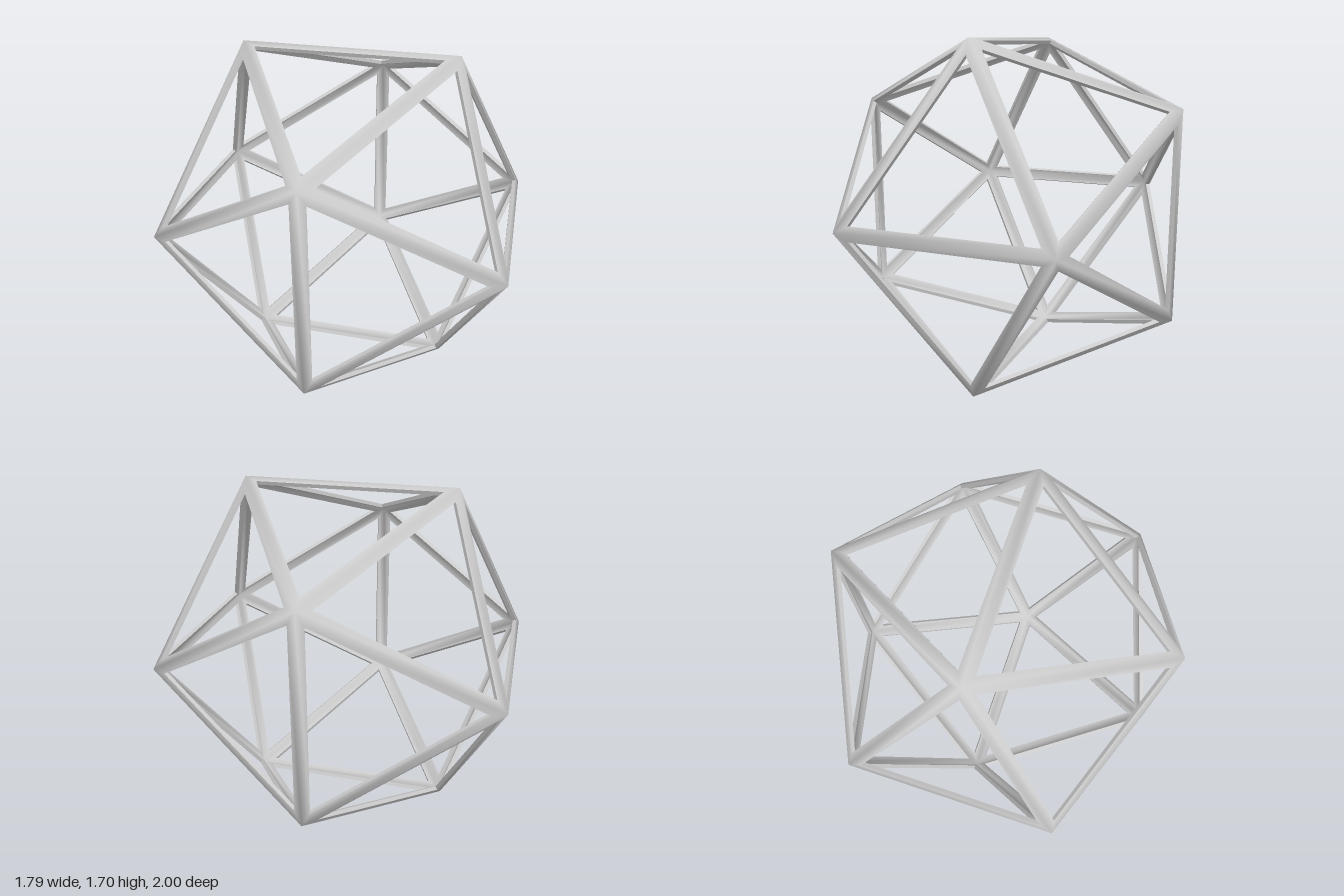
import * as THREE from 'three';
import { toCreasedNormals } from 'three/addons/utils/BufferGeometryUtils.js';

const INSET = 0.04;   // strut half width, measured in each triangular face
const DEPTH = 0.02;   // thickness of the frame

// Twelve corners: two poles on the z axis and two staggered rings of five
function corners() {
  const z = 1 / Math.sqrt(5), r = 2 * z;
  const ring = (zPos, turn) => Array.from({ length: 5 }, (_, i) => {
    const a = (i * 2 + turn) * Math.PI / 5;
    return new THREE.Vector3(Math.cos(a) * r, Math.sin(a) * r, zPos);
  });
  return {
    front: new THREE.Vector3(0, 0, 1), back: new THREE.Vector3(0, 0, -1),
    frontRing: ring(z, 0), backRing: ring(-z, 1),
  };
}

// Twenty triangles, counter-clockwise from outside
function triangles() {
  const { front, back, frontRing: f, backRing: b } = corners();
  const list = [];
  for (let i = 0; i < 5; i++) {
    const j = (i + 1) % 5;
    list.push([front, f[i], f[j]], [back, b[j], b[i]], [f[i], b[i], f[j]], [b[i], b[j], f[j]]);
  }
  return list;
}

function frameGeometry() {
  const pos = [];
  const quad = (a, b, c, d) => {
    for (const p of [a, b, c, a, c, d]) pos.push(p.x, p.y, p.z);
  };
  for (const tri of triangles()) {
    const centre = new THREE.Vector3().add(tri[0]).add(tri[1]).add(tri[2]).divideScalar(3);
    const normal = centre.clone().normalize();
    const inradius = tri[0].distanceTo(tri[1]) / (2 * Math.sqrt(3));
    const hole = tri.map((p) => p.clone().lerp(centre, INSET / inradius));
    const innerHole = hole.map((p) => p.clone().addScaledVector(normal, -DEPTH));
    const inner = tri.map((p) => p.clone().multiplyScalar(1 - DEPTH / centre.length()));
    for (let i = 0; i < 3; i++) {
      const j = (i + 1) % 3;
      quad(tri[i], tri[j], hole[j], hole[i]);                 // outer skin
      quad(hole[i], hole[j], innerHole[j], innerHole[i]);     // wall of the opening
      quad(innerHole[i], innerHole[j], inner[j], inner[i]);   // inner skin
    }
  }
  const geo = new THREE.BufferGeometry();
  geo.setAttribute('position', new THREE.Float32BufferAttribute(pos, 3));
  return toCreasedNormals(geo, THREE.MathUtils.degToRad(75));
}

export function createModel() {
  const group = new THREE.Group();
  group.name = 'icosahedron';
  const frame = new THREE.Mesh(frameGeometry(), new THREE.MeshStandardMaterial({ color: 0xcccccc }));
  frame.name = 'strutFrame';
  frame.position.y = Math.sin(Math.PI * 2 / 5) * 2 / Math.sqrt(5);
  group.add(frame);
  return group;
}
